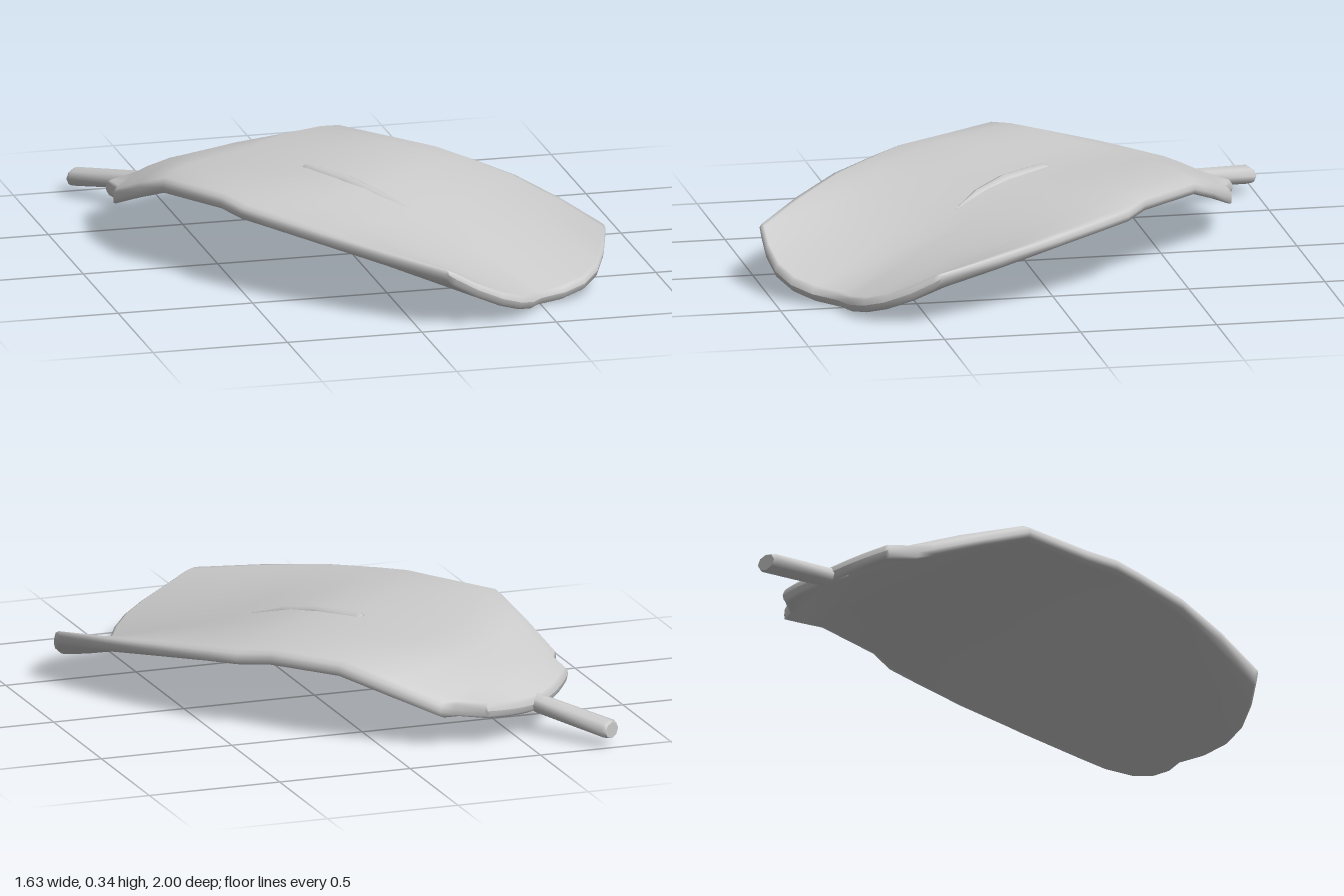
import * as THREE from 'three';

// Leaf coordinates: s across the blade, t along the midrib from its base.
const place = (s, y, t) => [-0.6 + 0.586 * t + 0.81 * s, y, -0.73 + 0.81 * t - 0.586 * s];

// Skin a list of equal closed cross-sections, each a loop of [s, y, t] points.
function loft(name, rows) {
  const n = rows[0].length;
  const index = [];
  for (let i = 0; i < rows.length - 1; i++) {
    for (let j = 0; j < n; j++) {
      const k = (j + 1) % n;
      const a = i * n + j, b = a + n, c = i * n + k, d = c + n;
      index.push(a, b, c, b, d, c);
    }
  }
  const geometry = new THREE.BufferGeometry();
  const points = rows.flat().flatMap((p) => place(...p));
  geometry.setAttribute('position', new THREE.Float32BufferAttribute(points, 3));
  geometry.setIndex(index);
  geometry.computeVertexNormals();
  const mesh = new THREE.Mesh(geometry, new THREE.MeshStandardMaterial({ color: 0xcccccc }));
  mesh.name = name;
  return mesh;
}

// Blade stations: edge s, edge t, edge height, midrib t, midrib height, arch of each half.
const stations = [
  [0.26, 0.055, 0.142, 0.0, 0.115, 0],
  [0.32, 0.157, 0.148, 0.09, 0.165, 0],
  [0.373, 0.184, 0.15, 0.14, 0.19, 0],
  [0.45, 0.36, 0.22, 0.28, 0.24, 0.008],
  [0.515, 0.533, 0.285, 0.45, 0.275, 0.016],
  [0.532, 0.817, 0.285, 0.8, 0.283, 0.012],
  [0.566, 0.94, 0.276, 0.95, 0.275, 0.01],
  [0.564, 1.062, 0.268, 1.08, 0.26, 0.006],
  [0.552, 1.3, 0.25, 1.3, 0.205, 0],
  [0.507, 1.55, 0.221, 1.58, 0.12, -0.006],
  [0.443, 1.81, 0.19, 1.876, 0.028, -0.018],
];
const tilt = -0.033; // the left half lies a little higher than the right

// One cross-section of the blade: top left to right, then underside back.
function bladeRow([es, et, ey, mt, my, arch], half, bulge, shift) {
  const us = [-0.99, -0.95, -0.8, -0.6, -0.4, -0.2, 0, 0.2, 0.4, 0.6, 0.8, 0.95, 0.99];
  const point = (u, h) => {
    const a = Math.abs(u);
    return [
      es * u,
      my + (ey - my) * a ** 1.5 + arch * 6.75 * a * a * (1 - a) + tilt * es * u + h * half,
      mt + (et - mt) * a * a + bulge * Math.sin(Math.PI * a) + shift,
    ];
  };
  const rim = (u) => (Math.abs(u) > 0.97 ? 0.7 : 1);
  return [
    point(-1, 0),
    ...us.map((u) => point(u, rim(u))),
    point(1, 0),
    ...us.slice().reverse().map((u) => point(u, -rim(u))),
  ];
}

function makeBlade() {
  const first = stations[0], last = stations[stations.length - 1];
  const half = 0.028;
  const rows = [
    bladeRow(first, 0, 0, 0),
    bladeRow(first, half * 0.7, 0, 0.004),
    bladeRow(first, half, 0, 0.012),
    ...stations.slice(1, -1).map((st) => bladeRow(st, half, 0, 0)),
    // The blunt, notched tip
    bladeRow(last, half, 0.07, -0.018),
    bladeRow(last, half * 0.7, 0.07, -0.005),
    bladeRow(last, 0, 0.07, 0),
  ];
  return loft('leafBlade', rows);
}

// Tapered rod along the midrib; rings are [t, height, half width, half height, s].
function makeRod(name, rings, sides) {
  const ring = ([t, y, w, h, s]) =>
    Array.from({ length: sides }, (_, i) => {
      const a = (i / sides) * Math.PI * 2;
      return [s - w * Math.cos(a), y + h * Math.sin(a), t];
    });
  const [t0, y0, , , s0] = rings[0];
  const [t1, y1, , , s1] = rings[rings.length - 1];
  const all = [[t0, y0, 0, 0, s0], rings[0], ...rings, rings[rings.length - 1], [t1, y1, 0, 0, s1]];
  return loft(name, all.map(ring));
}

export function createModel() {
  const group = new THREE.Group();
  group.name = 'leaf';
  group.add(makeBlade());

  // Stalk running into the base of the blade
  group.add(makeRod('stalk', [
    [-0.31, 0.06, 0.04, 0.03, 0],
    [-0.295, 0.063, 0.047, 0.036, 0],
    [0.0, 0.108, 0.045, 0.034, 0],
    [0.1, 0.15, 0.03, 0.02, 0],
  ], 8));

  // Vein standing out of the upper surface and tapering towards the tip
  group.add(makeRod('midribVein', [
    [0.77, 0.293, 0.026, 0.022, 0],
    [0.79, 0.294, 0.03, 0.028, 0],
    [0.98, 0.288, 0.03, 0.027, -0.01],
    [1.12, 0.266, 0.022, 0.023, -0.01],
    [1.25, 0.238, 0.004, 0.01, 0.005],
  ], 8));
  return group;
}
